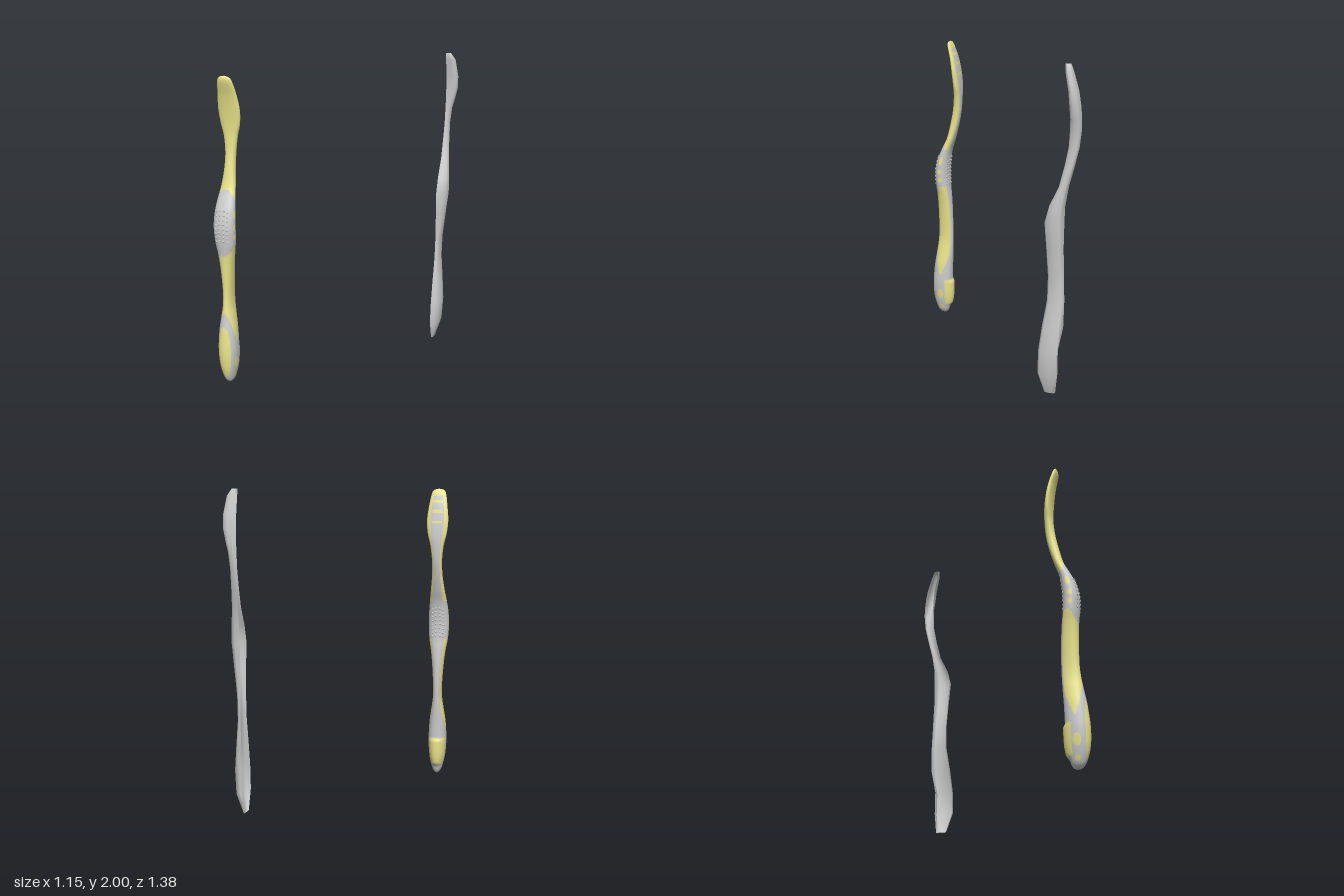
import * as THREE from 'three';

const GREY = 0xcccccc, YELLOW = 0xe9e48a;

// Profile rows: [height, half width, front z, back z]
const HANDLE = [
  [0.01, 0, 0.615, 0.615], [0.02, 0.016, 0.64, 0.59], [0.055, 0.035, 0.664, 0.572], [0.14, 0.054, 0.687, 0.553],
  [0.25, 0.062, 0.692, 0.549], [0.38, 0.056, 0.68, 0.546], [0.48, 0.042, 0.663, 0.541], [0.56, 0.031, 0.65, 0.538],
  [0.65, 0.030, 0.643, 0.537], [0.8, 0.040, 0.645, 0.541], [0.9, 0.052, 0.649, 0.548], [0.98, 0.065, 0.656, 0.557],
  [1.08, 0.070, 0.659, 0.56], [1.17, 0.066, 0.64, 0.553], [1.24, 0.058, 0.61, 0.54], [1.32, 0.047, 0.571, 0.513],
  [1.42, 0.036, 0.545, 0.485], [1.52, 0.034, 0.525, 0.466], [1.62, 0.045, 0.514, 0.46], [1.7, 0.064, 0.513, 0.463],
  [1.79, 0.072, 0.519, 0.475], [1.88, 0.063, 0.532, 0.493], [1.96, 0.050, 0.551, 0.518], [1.99, 0.035, 0.551, 0.532],
  [2.0, 0, 0.54, 0.54],
];
const HALF = [
  [0.0, 0.015, -0.485, -0.554], [0.13, 0.054, -0.443, -0.597], [0.28, 0.061, -0.448, -0.597], [0.43, 0.047, -0.468, -0.598],
  [0.6, 0.027, -0.496, -0.602], [0.75, 0.031, -0.5, -0.597], [0.93, 0.053, -0.49, -0.592], [1.08, 0.069, -0.48, -0.594],
  [1.18, 0.064, -0.507, -0.597], [1.3, 0.046, -0.563, -0.618], [1.42, 0.034, -0.592, -0.65], [1.53, 0.027, -0.613, -0.676],
  [1.63, 0.036, -0.62, -0.687], [1.69, 0.052, -0.623, -0.687], [1.77, 0.07, -0.62, -0.68], [1.85, 0.072, -0.614, -0.667],
  [1.96, 0.057, -0.592, -0.634], [2.0, 0.03, -0.586, -0.618],
];

const widths = new THREE.CatmullRomCurve3(HANDLE.map(r => new THREE.Vector3(r[1], r[0], 0)), false, 'catmullrom', 0.5);
const depths = new THREE.CatmullRomCurve3(HANDLE.map(r => new THREE.Vector3(r[2], r[0], r[3])), false, 'catmullrom', 0.5);

// Point on the handle at path position t and angle a (0 = left side, PI/2 = front)
function handlePoint(t, a) {
  const w = Math.max(0, widths.getPoint(t).x), d = depths.getPoint(t);
  const s = Math.sin(a), c = Math.cos(a);
  const round = v => Math.sign(v) * Math.pow(Math.abs(v), 0.92);
  // raised pad on the lower back
  const pad = s < 0 ? 0.013 * s * s * THREE.MathUtils.smoothstep(d.y, 0.06, 0.1) * (1 - THREE.MathUtils.smoothstep(d.y, 0.25, 0.28)) : 0;
  return new THREE.Vector3(w * round(c), d.y, (d.x + d.z) / 2 + (d.x - d.z) / 2 * round(s) - pad);
}

// Which of the two materials covers the handle here
function isYellow(p, a) {
  const s = Math.sin(a), y = p.y, front = Math.max(0, s);
  const ellipse = (u, v, cu, cv, ru, rv) => ((u - cu) / ru) ** 2 + ((v - cv) / rv) ** 2 < 1;
  // small windows on the sides
  for (const [h, r] of [[1.16, 0.028], [1.08, 0.02], [1.02, 0.018], [0.165, 0.035], [0.065, 0.016]])
    if (ellipse(s, y, 0.05, h, 0.3, r)) return true;
  if (y > 1.24 + 0.065 * front) {
    if (s > -0.78 || y > 1.95) return true;
    // bars crossing the back of the head
    return y > 1.74 && Math.abs(((y - 1.74) % 0.07) - 0.035) < 0.01 && Math.abs(p.x) < 0.035;
  }
  if (y > 0.97 - 0.08 * front) return false;
  if (s < -0.4 && y > 0.08 && y < 0.27) return true;
  if (s > 0 && ellipse(p.x, y, 0, 0.24, 0.044, 0.18)) return true;
  if (s < -0.75) return false;
  return Math.abs(s) < (y - 0.3) / 0.21;
}

// Triangles of a rows x cols grid, dealt out by a choosing function
function gridIndices(rows, cols, wrap, choose) {
  const sets = [[], []];
  for (let j = 0; j < rows - 1; j++) for (let i = 0; i < (wrap ? cols : cols - 1); i++) {
    const k = (i + 1) % cols, a = j * cols + i, b = j * cols + k, c = a + cols, d = b + cols;
    sets[choose(j, i)].push(a, c, b, b, c, d);
  }
  return sets;
}

function geometryFrom(points, index) {
  const g = new THREE.BufferGeometry().setFromPoints(points);
  g.setIndex(index);
  g.computeVertexNormals();
  return g;
}

function makeHandle() {
  const group = new THREE.Group();
  group.name = 'brushHandle';
  const rows = 321, cols = 96, points = [];
  for (let j = 0; j < rows; j++) for (let i = 0; i < cols; i++)
    points.push(handlePoint(j / (rows - 1), i / cols * Math.PI * 2));
  const [all] = gridIndices(rows, cols, true, () => 0);
  const whole = geometryFrom(points, all);
  const parts = gridIndices(rows, cols, true, (j, i) =>
    isYellow(points[j * cols + i], (i + 0.5) / cols * Math.PI * 2) ? 1 : 0);
  ['softGrip', 'hardBody'].forEach((name, n) => {
    const g = whole.clone();
    g.setIndex(parts[n]);
    const mesh = new THREE.Mesh(g, new THREE.MeshStandardMaterial({ color: n ? YELLOW : GREY }));
    mesh.name = name;
    group.add(mesh);
  });

  // Nubs on the front and back of the thumb rest
  const nub = new THREE.SphereGeometry(0.007, 10, 8), grey = new THREE.MeshStandardMaterial({ color: GREY });
  const nubs = new THREE.Group();
  nubs.name = 'gripNubs';
  for (const side of [1, -1]) for (let r = 0; r < 8; r++) for (let k = 0; k < 4; k++) {
    const y = 1.0 + r * 0.027 - (k === 0 || k === 3 ? 0.008 : 0);
    let lo = 0, hi = 1;
    for (let n = 0; n < 20; n++) {
      const mid = (lo + hi) / 2;
      if (depths.getPoint(mid).y < y) lo = mid; else hi = mid;
    }
    const m = new THREE.Mesh(nub, grey);
    m.name = 'gripNub';
    m.position.copy(handlePoint(lo, side * (Math.PI / 2 + (k - 1.5) * 0.36)));
    m.scale.z = 0.6;
    nubs.add(m);
  }
  group.add(nubs);
  group.position.x = -0.505;
  return group;
}

// Open half body with a blunt faceted section, cut flat along its inner side
function makeHalfBody() {
  const section = [[0, 0], [0.5, 0.03], [0.84, 0.14], [1, 0.48], [0.86, 0.86], [0.5, 0.97], [0, 1]];
  const points = [];
  const ring = ([y, w, zf, zb], scale) => section.forEach(([u, v], i) => {
    // hollow in the lower back
    const dent = i < 2 && y > 0.05 && y < 0.3 ? 0.03 : 0;
    const m = 0.5 + (v - 0.5) * scale;
    points.push(new THREE.Vector3(0.5 + w * u * scale, y, zb + (zf - zb) * m + dent));
  });
  ring(HALF[0], 0);
  HALF.forEach(r => ring(r, 1));
  ring(HALF[HALF.length - 1], 0);
  const [index] = gridIndices(HALF.length + 2, section.length, false, () => 0);
  const mesh = new THREE.Mesh(geometryFrom(points, index),
    new THREE.MeshStandardMaterial({ color: GREY, side: THREE.DoubleSide }));
  mesh.name = 'halfBody';
  return mesh;
}

export function createModel() {
  const model = new THREE.Group();
  model.name = 'brushHandleSet';
  model.add(makeHandle(), makeHalfBody());
  return model;
}
